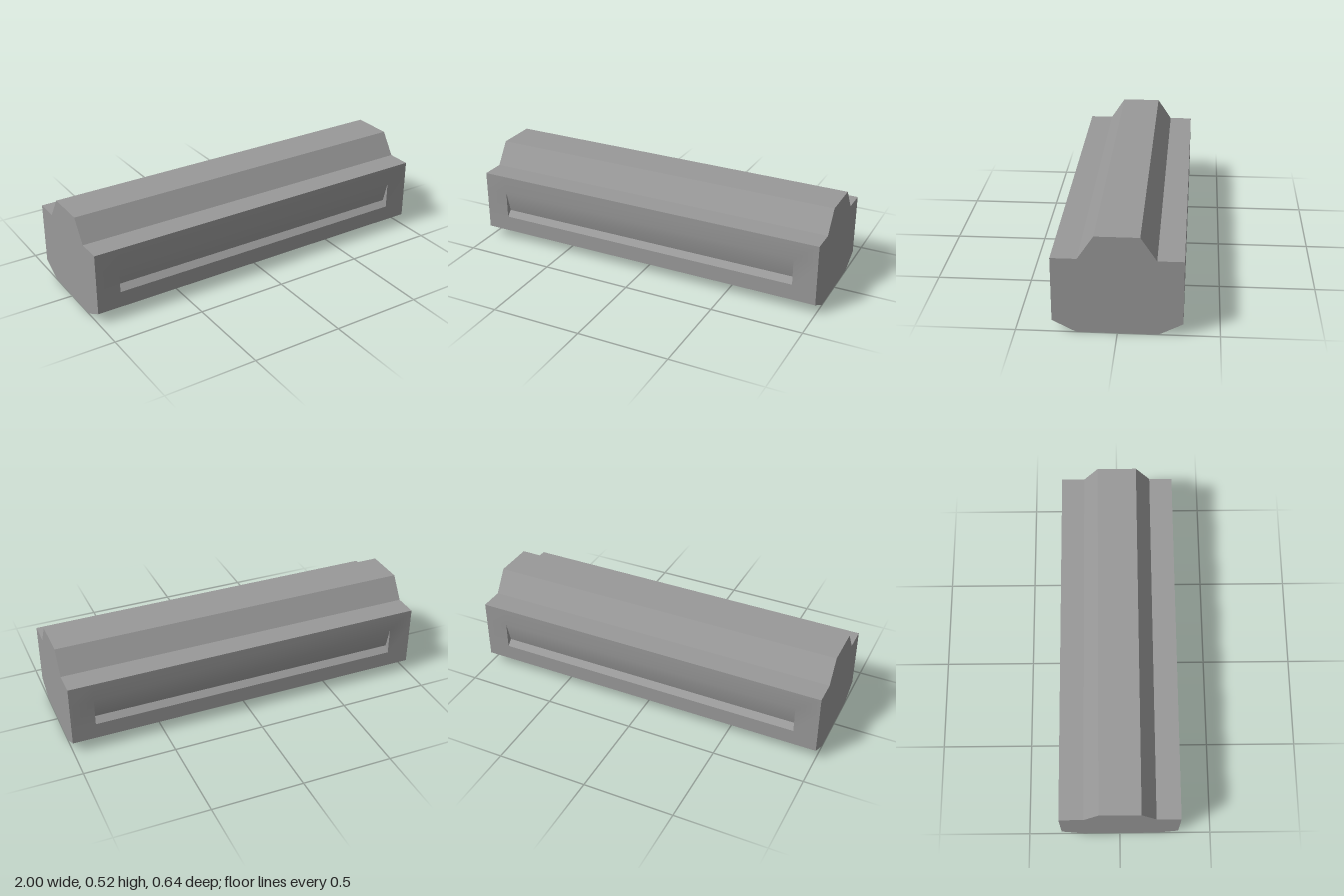
import * as THREE from 'three';
import { toCreasedNormals } from 'three/addons/utils/BufferGeometryUtils.js';

const END = 1, POCKET = 0.87;

// Front half of the cross-sections as [z, y], bottom to top
const solidHalf = [[0.2, 0], [0.32, 0.0625], [0.32, 0.15], [0.32, 0.3], [0.32, 0.4], [0.19, 0.4], [0.11, 0.52]];
const pocketHalf = [[0.18, 0.035], [0.2, 0], [0.32, 0.0625], [0.32, 0.15], [0.29, 0.18], [0.32, 0.3],
  [0.32, 0.4], [0.19, 0.4], [0.11, 0.52]];

// Outlines of the recess ends
const sideRecess = [[0.32, 0.15], [0.32, 0.3], [0.29, 0.18]];
const baseRecess = [[-0.2, 0], [0.2, 0], [0.18, 0.035], [-0.18, 0.035]];

const mirror = (pts) => pts.map(([z, y]) => [-z, y]).reverse();
const closeLoop = (half) => [...half, ...mirror(half)];

function createBodyGeometry() {
  const positions = [];
  const tri = (a, b, c) => positions.push(...a, ...b, ...c);

  // Skin between two x stations along a closed section
  const skin = (loop, x0, x1) => loop.forEach(([z, y], i) => {
    const [z2, y2] = loop[(i + 1) % loop.length];
    tri([x0, y, z], [x1, y, z], [x1, y2, z2]);
    tri([x0, y, z], [x1, y2, z2], [x0, y2, z2]);
  });

  // Flat wall at one x station, facing +x or -x
  const wall = (loop, x, facing) => {
    const pts = loop.map(([z, y]) => new THREE.Vector2(z, y));
    for (const [a, b, c] of THREE.ShapeUtils.triangulateShape(pts, [])) {
      const [p, q, r] = [a, b, c].map((i) => [x, loop[i][1], loop[i][0]]);
      if (facing < 0) tri(p, q, r);
      else tri(p, r, q);
    }
  };

  const solid = closeLoop(solidHalf);
  skin(solid, -END, -POCKET);
  skin(closeLoop(pocketHalf), -POCKET, POCKET);
  skin(solid, POCKET, END);

  for (const s of [-1, 1]) {
    wall(solid, s * END, s);
    for (const recess of [sideRecess, mirror(sideRecess), baseRecess]) wall(recess, s * POCKET, -s);
  }

  const geometry = new THREE.BufferGeometry();
  geometry.setAttribute('position', new THREE.Float32BufferAttribute(positions, 3));
  return toCreasedNormals(geometry, THREE.MathUtils.degToRad(30));
}

export function createModel() {
  const grey = new THREE.MeshStandardMaterial({ color: 0x999999 });
  grey.name = 'mid grey';

  // Long bar with a raised ridge and recesses in front, back and base
  const body = new THREE.Mesh(createBodyGeometry(), grey);
  body.name = 'recessedBar';

  const model = new THREE.Group();
  model.name = 'ridgedBar';
  model.add(body);
  return model;
}
